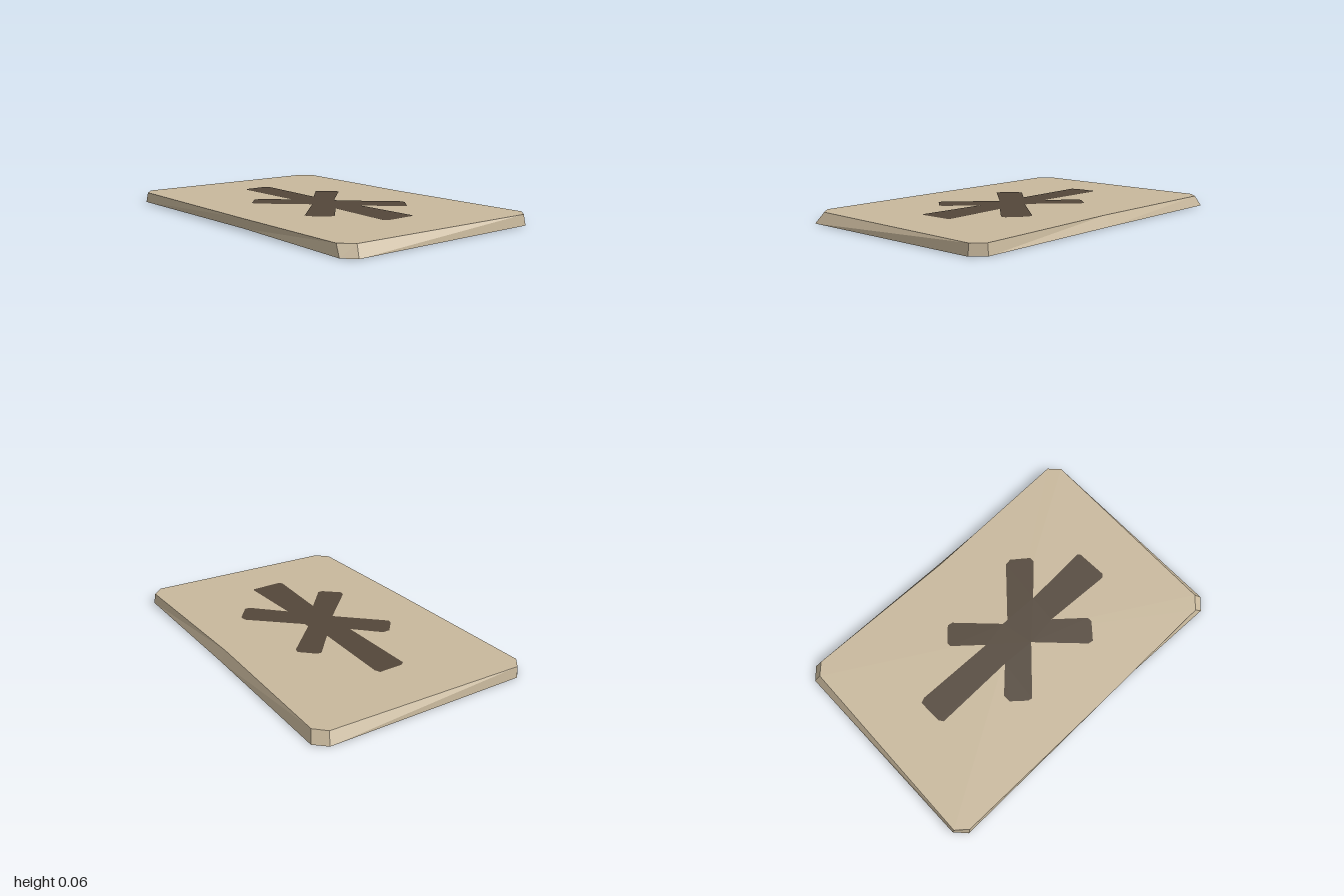
import * as THREE from 'three';

const stone = new THREE.MeshStandardMaterial({ color: 0xc8b89c });
stone.name = 'sandstone';
const ink = new THREE.MeshStandardMaterial({ color: 0x53473a });
ink.name = 'dark ink';

const BASE_Y = 0.002, TOP_Y = 0.062;

// Outlines as [x, z], starting at the back left corner, going round by the right
const bottomRing = [
  [-0.655, -0.94], [-0.59, -1], [0.59, -1], [0.655, -0.94], [0.648, 0],
  [0.655, 0.935], [0.59, 1], [-0.595, 1], [-0.655, 0.935], [-0.63, 0.12],
];
const topRing = [
  [-0.65, -0.925], [-0.595, -0.99], [0.57, -0.965], [0.632, -0.905], [0.617, 0],
  [0.645, 0.93], [0.585, 0.99], [-0.57, 0.957], [-0.637, 0.89], [-0.648, 0.12],
];

// Hand-cut slab: two uneven outlines joined by flat facets
function slabGeometry() {
  const pos = [];
  const tri = (...pts) => pts.forEach((p) => pos.push(...p));
  const low = bottomRing.map(([x, z]) => [x, BASE_Y, z]);
  const high = topRing.map(([x, z]) => [x, TOP_Y, z]);
  const n = low.length;
  for (let i = 0; i < n; i++) {
    const j = (i + 1) % n;
    tri([0, TOP_Y, 0], high[j], high[i]);
    tri([0, BASE_Y, 0], low[i], low[j]);
    tri(low[j], low[i], high[i]);
    tri(low[j], high[i], high[j]);
  }
  const g = new THREE.BufferGeometry();
  g.setAttribute('position', new THREE.Float32BufferAttribute(pos, 3));
  g.computeVertexNormals();
  return g;
}

// Six-armed star on the upper face
const starOutline = [
  [-0.115, -0.63], [-0.09, -0.648], [0.05, -0.65], [0.063, -0.62], [0.053, -0.15],
  [0.19, -0.305], [0.215, -0.305], [0.295, -0.23], [0.29, -0.2], [0.08, 0.01], [0.08, 0.045],
  [0.345, 0.285], [0.35, 0.325], [0.275, 0.42], [0.245, 0.42], [0.075, 0.25],
  [0.095, 0.64], [0.085, 0.655], [-0.1, 0.66], [-0.115, 0.64], [-0.095, 0.235],
  [-0.235, 0.395], [-0.265, 0.395], [-0.355, 0.315], [-0.35, 0.285], [-0.115, 0.05],
  [-0.36, -0.18], [-0.355, -0.205], [-0.285, -0.285], [-0.24, -0.285], [-0.105, -0.15],
];

// One half of the double swirl under the slab; the other is its half turn
const swirlHalf = [
  [-0.043, 0.052], [-0.18, -0.03], [-0.325, -0.14], [-0.4, -0.29], [-0.412, -0.445],
  [-0.36, -0.576], [-0.254, -0.664], [-0.132, -0.703], [-0.013, -0.687],
  [0.106, -0.637], [0.087, -0.692], [0, -0.758], [0, -0.788], [0.107, -0.764],
  [0.2, -0.685], [0.24, -0.585], [0.3, -0.511], [0.329, -0.532], [0.343, -0.616],
  [0.302, -0.73], [0.32, -0.762], [0.405, -0.605], [0.432, -0.442], [0.391, -0.29],
  [0.317, -0.185], [0.225, -0.109], [0.132, -0.074], [0.095, -0.105], [0.136, -0.183],
  [0.173, -0.248], [0.197, -0.354], [0.17, -0.466], [0.08, -0.544], [-0.058, -0.565],
  [-0.195, -0.504], [-0.259, -0.398], [-0.245, -0.282], [-0.15, -0.165],
];

function addMark(group, name, geometry, y) {
  const mesh = new THREE.Mesh(geometry, ink);
  mesh.name = name;
  mesh.position.y = y;
  group.add(mesh);
  return mesh;
}

export function createModel() {
  const group = new THREE.Group();
  group.name = 'runeTablet';

  const slab = new THREE.Mesh(slabGeometry(), stone);
  slab.name = 'slab';
  group.add(slab);

  // Upper face mark
  const star = new THREE.Shape(starOutline.map(([x, z]) => new THREE.Vector2(x, -z)));
  addMark(group, 'starMark', new THREE.ShapeGeometry(star).rotateX(-Math.PI / 2), TOP_Y + 0.002);

  // Lower face swirl, smoothed through both halves
  const loop = [...swirlHalf, ...swirlHalf.map(([x, z]) => [-x, -z])];
  loop.push(loop[0]);
  const curve = new THREE.SplineCurve(loop.map(([x, z]) => new THREE.Vector2(x, z)));
  const swirl = new THREE.Shape(curve.getPoints(loop.length * 3).slice(0, -1));
  addMark(group, 'swirlMark', new THREE.ShapeGeometry(swirl).rotateX(Math.PI / 2), 0);

  // Round dots inside the swirl
  for (const side of [-1, 1]) {
    const dot = addMark(group, 'swirlDot', new THREE.CircleGeometry(0.1, 32).rotateX(Math.PI / 2), 0);
    dot.position.z = side * 0.317;
  }
  return group;
}
